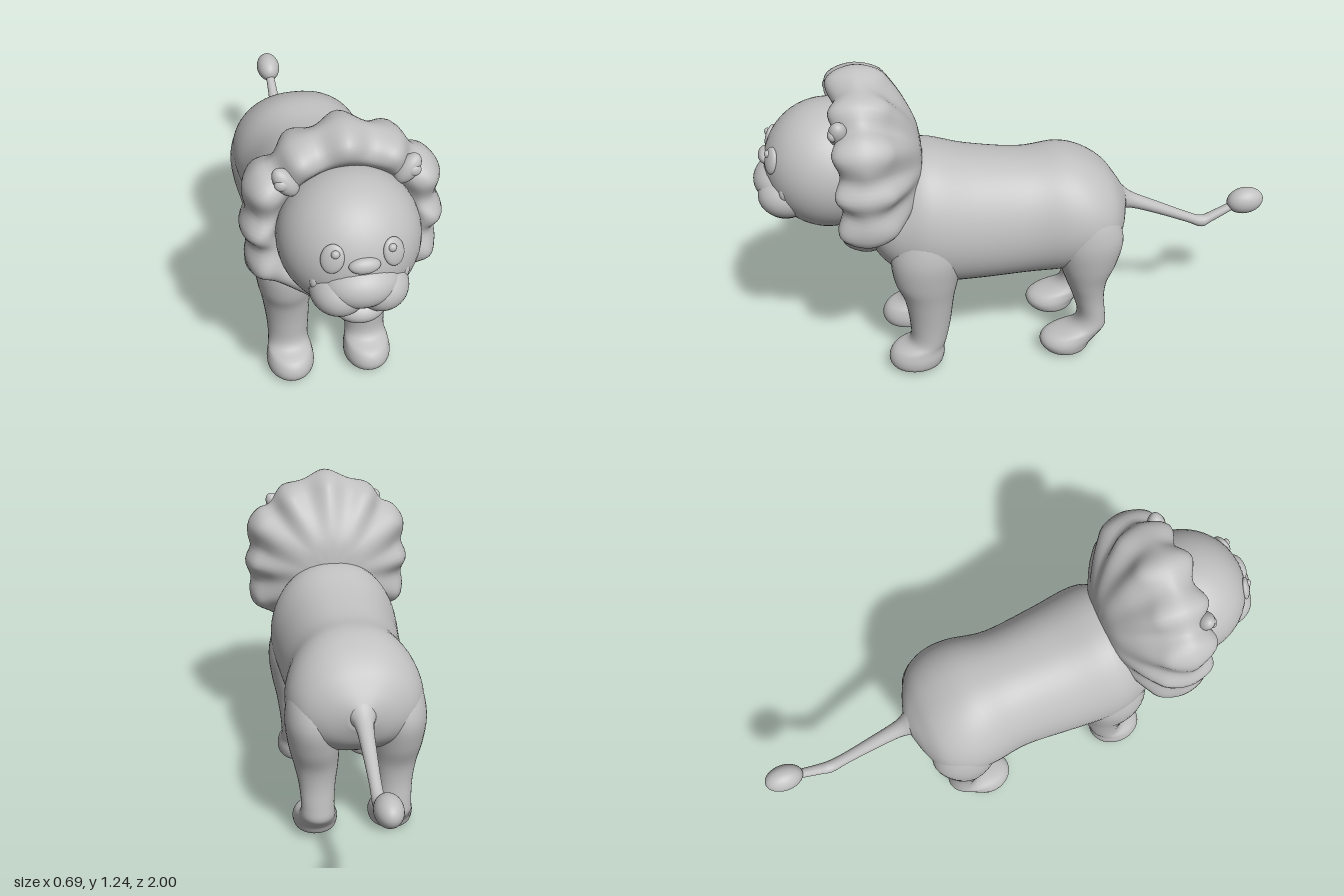
import * as THREE from 'three';

const grey = new THREE.MeshStandardMaterial({ color: 0xc0c0c0 });
grey.name = 'plain grey';

function add(parent, name, geometry) {
  const mesh = new THREE.Mesh(geometry, grey);
  mesh.name = name;
  parent.add(mesh);
  return mesh;
}

// Ellipsoid with centre, radii and optional rotation
function ball(parent, name, centre, radii, rotation = [0, 0, 0]) {
  const mesh = add(parent, name, new THREE.SphereGeometry(1, 40, 28));
  mesh.position.set(...centre);
  mesh.scale.set(...radii);
  mesh.rotation.set(...rotation);
  return mesh;
}

// Smoothly resample rows of section numbers
function resample(rows, steps) {
  const out = [];
  const at = (i) => rows[Math.max(0, Math.min(rows.length - 1, i))];
  for (let k = 0; k <= (rows.length - 1) * steps; k++) {
    const i = Math.floor(k / steps), t = (k % steps) / steps;
    out.push(rows[0].map((_, c) => {
      const a = at(i - 1)[c], b = at(i)[c], d = at(i + 1)[c], e = at(i + 2)[c];
      return b + 0.5 * t * (d - a + t * (2 * a - 5 * b + 4 * d - e + t * (3 * (b - d) + e - a)));
    }));
  }
  return out;
}

// Skin closed rings of points and cap both ends; winding is turned outwards
function loft(rings) {
  const n = rings[0].length, pts = rings.flat(), index = [];
  for (let r = 0; r < rings.length - 1; r++) {
    for (let i = 0; i < n; i++) {
      const a = r * n + i, b = r * n + (i + 1) % n;
      index.push(a, b, a + n, b, b + n, a + n);
    }
  }
  [0, rings.length - 1].forEach((r, end) => {
    const c = new THREE.Vector3();
    rings[r].forEach((p) => c.addScaledVector(p, 1 / n));
    pts.push(c);
    for (let i = 0; i < n; i++) {
      const a = r * n + i, b = r * n + (i + 1) % n;
      index.push(pts.length - 1, ...(end ? [a, b] : [b, a]));
    }
  });
  let volume = 0;
  const cross = new THREE.Vector3();
  for (let i = 0; i < index.length; i += 3) {
    volume += pts[index[i]].dot(cross.crossVectors(pts[index[i + 1]], pts[index[i + 2]]));
  }
  if (volume < 0) index.reverse();
  const g = new THREE.BufferGeometry().setFromPoints(pts);
  g.setIndex(index);
  g.computeVertexNormals();
  return g;
}

function ring(n, place) {
  return Array.from({ length: n }, (_, i) => place(i / n * Math.PI * 2));
}

// Torso: z, bottom, top, half width
function torsoGeometry() {
  const rows = [
    [0.60, 0.56, 0.76, 0.08], [0.56, 0.48, 0.82, 0.18], [0.47, 0.40, 0.87, 0.235],
    [0.37, 0.36, 0.91, 0.262], [0.20, 0.35, 0.865, 0.25], [0, 0.35, 0.835, 0.235],
    [-0.15, 0.36, 0.84, 0.258], [-0.25, 0.385, 0.81, 0.255], [-0.33, 0.43, 0.755, 0.215],
    [-0.38, 0.48, 0.69, 0.14], [-0.41, 0.55, 0.64, 0.05],
  ];
  return loft(resample(rows, 5).map(([z, lo, hi, w]) => ring(56, (a) => {
    const s = Math.sin(a), c = Math.cos(a);
    const x = Math.sign(c) * Math.abs(c) ** 0.85 * w * (1 - 0.08 * s);
    return new THREE.Vector3(x, (lo + hi) / 2 + s * (hi - lo) / 2, z);
  })));
}

// Leg and paw: height, centre x, centre z, half width, half depth
const frontLeg = [
  [0.70, 0.14, 0.38, 0.05, 0.06], [0.64, 0.155, 0.38, 0.09, 0.11], [0.53, 0.165, 0.39, 0.107, 0.135],
  [0.42, 0.163, 0.395, 0.1, 0.122], [0.33, 0.155, 0.388, 0.09, 0.096], [0.22, 0.15, 0.387, 0.08, 0.08],
  [0.135, 0.15, 0.398, 0.076, 0.073], [0.10, 0.15, 0.435, 0.084, 0.1], [0.06, 0.15, 0.446, 0.09, 0.109],
  [0.025, 0.15, 0.447, 0.081, 0.097], [0.005, 0.15, 0.445, 0.045, 0.06],
];
const backLeg = [
  [0.70, 0.14, -0.20, 0.05, 0.06], [0.64, 0.155, -0.22, 0.09, 0.11], [0.53, 0.165, -0.235, 0.103, 0.135],
  [0.42, 0.16, -0.237, 0.097, 0.113], [0.33, 0.152, -0.235, 0.084, 0.08], [0.25, 0.15, -0.245, 0.07, 0.061],
  [0.17, 0.15, -0.257, 0.064, 0.056], [0.12, 0.15, -0.243, 0.069, 0.073], [0.09, 0.15, -0.185, 0.08, 0.112],
  [0.055, 0.15, -0.155, 0.088, 0.105], [0.02, 0.15, -0.155, 0.078, 0.085], [0.003, 0.15, -0.155, 0.045, 0.05],
];
function legGeometry(rows, side) {
  return loft(resample(rows, 5).map(([y, cx, cz, rx, rz]) => ring(32, (a) =>
    new THREE.Vector3(side * (cx + rx * Math.cos(a)), y, cz + rz * Math.sin(a)))));
}

// Mane: a scalloped outline scaled into a dome behind and a rolled rim in front
function maneGeometry() {
  const half = [
    [0, 1.24], [0.098, 1.203], [0.187, 1.174], [0.236, 1.108], [0.285, 1.085], [0.328, 1.026],
    [0.331, 0.977], [0.322, 0.93], [0.345, 0.862], [0.325, 0.797], [0.331, 0.731], [0.315, 0.675],
    [0.236, 0.628], [0.154, 0.567], [0.079, 0.508], [0, 0.477],
  ];
  const mirrored = half.slice(1, -1).reverse().map(([x, y]) => [-x, y]);
  const outline = new THREE.CatmullRomCurve3(
    [...half, ...mirrored].map(([x, y]) => new THREE.Vector3(x, y, 0)), true).getSpacedPoints(120).slice(0, 120);
  // scale, z, share of plain circle, scallop depth
  const rows = [
    [0.04, 0.375, 1, 0], [0.35, 0.39, 0.8, 0], [0.62, 0.435, 0.5, -0.004], [0.82, 0.487, 0.2, -0.012],
    [0.94, 0.53, 0, -0.015], [1, 0.595, 0, 0], [0.96, 0.655, 0, 0.015], [0.87, 0.693, 0, 0.015],
    [0.74, 0.695, 0.3, 0.008], [0.62, 0.66, 1, 0],
  ];
  return loft(resample(rows, 4).map(([s, z, round, depth]) => outline.map((p) => {
    const dx = p.x, dy = p.y - 0.87, r = Math.hypot(dx, dy);
    const a = Math.atan2(Math.abs(dx), dy);
    const k = s * THREE.MathUtils.lerp(1, 0.36 / r, round);
    const fade = 1 - THREE.MathUtils.smoothstep(a, 2, 2.4);
    return new THREE.Vector3(dx * k, 0.87 + dy * k, z + depth * fade * Math.cos(12 * a));
  })));
}

// Tail: y, z, radius, with a bend near the tip
function tailGeometry() {
  const rows = [
    [0.61, -0.37, 0.075], [0.60, -0.405, 0.05], [0.578, -0.45, 0.033], [0.53, -0.56, 0.026], [0.475, -0.68, 0.022],
    [0.448, -0.745, 0.024], [0.465, -0.79, 0.021], [0.505, -0.87, 0.018], [0.52, -0.9, 0.018],
  ];
  return loft(resample(rows, 4).map(([y, z, r]) => ring(20, (a) =>
    new THREE.Vector3(r * Math.cos(a), y + r * Math.sin(a), z))));
}

export function createModel() {
  const model = new THREE.Group();
  model.name = 'lion';
  add(model, 'torso', torsoGeometry());
  add(model, 'tail', tailGeometry());
  ball(model, 'tailTuft', [0, 0.525, -0.925], [0.05, 0.054, 0.075], [0.1, 0, 0]);

  const head = new THREE.Group();
  head.name = 'head';
  model.add(head);
  add(head, 'mane', maneGeometry());
  ball(head, 'skull', [0, 0.87, 0.72], [0.24, 0.24, 0.235]);
  ball(head, 'muzzle', [0, 0.82, 0.89], [0.13, 0.085, 0.108]);
  ball(head, 'jaw', [0, 0.715, 0.885], [0.09, 0.052, 0.085]);
  ball(head, 'nose', [0, 0.92, 0.945], [0.051, 0.028, 0.025], [-0.3, 0, 0]);

  // Paired parts
  for (const [side, word] of [[1, 'left'], [-1, 'right']]) {
    add(model, word + 'FrontLeg', legGeometry(frontLeg, side));
    add(model, word + 'BackLeg', legGeometry(backLeg, side));
    ball(head, word + 'Cheek', [side * 0.068, 0.785, 0.88], [0.095, 0.085, 0.105]);
    ball(head, word + 'MouthCorner', [side * 0.145, 0.83, 0.885], [0.018, 0.03, 0.02]);
    ball(head, word + 'Eye', [side * 0.098, 0.943, 0.922], [0.038, 0.05, 0.016], [-0.3, side * 0.4, side * 0.25]);
    ball(head, word + 'Pupil', [side * 0.09, 0.966, 0.931], [0.014, 0.014, 0.012]);
    ball(head, word + 'Ear', [side * 0.2, 1.075, 0.68], [0.035, 0.06, 0.035], [0, 0, side * -0.6]);
    ball(head, word + 'EarTip', [side * 0.215, 1.08, 0.7], [0.025, 0.022, 0.018]);
  }
  return model;
}
